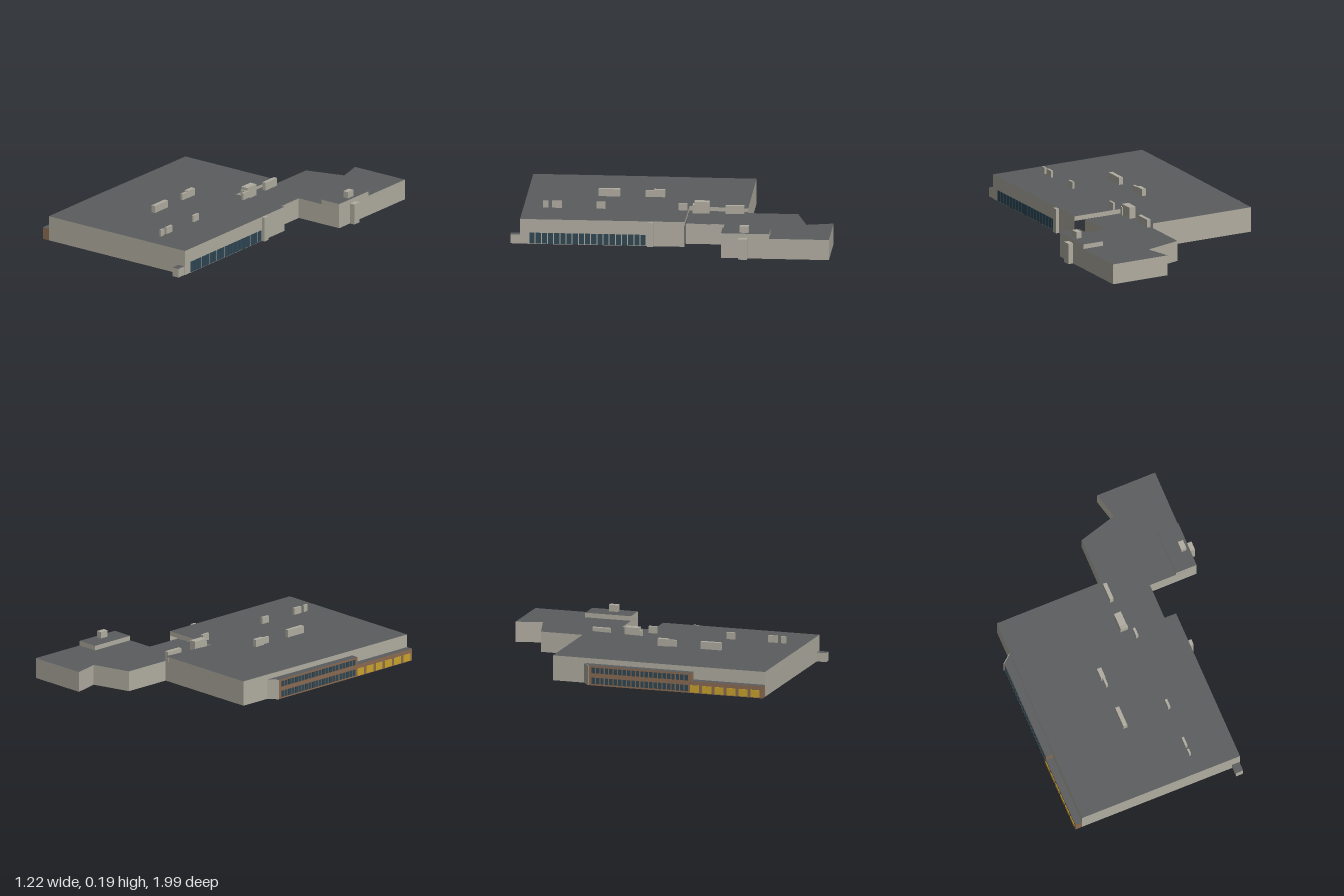
import * as THREE from 'three';

const mat = (color) => new THREE.MeshStandardMaterial({ color, side: THREE.DoubleSide });
const wallMat = mat(0xb0aca0), roofMat = mat(0x5a5c5e), brickMat = mat(0x8a6a52);
const glassMat = mat(0x2f4754), yellowMat = mat(0xc9a22c);
const TURN = 0.218; // the whole plan is turned by this angle

// Hollow block without a floor: walls along a plan outline plus a flat roof.
// Outline runs back-left, back-right, front-right, front-left. bases[i] lifts the foot of wall i, null leaves it out.
function block(name, outline, top, bases = [], material = wallMat) {
  const group = new THREE.Group();
  group.name = name;
  const pos = [];
  outline.forEach(([ax, az], i) => {
    const [bx, bz] = outline[(i + 1) % outline.length];
    const y = bases[i] === undefined ? 0 : bases[i];
    if (y === null) return;
    pos.push(ax, y, az, ax, top, az, bx, top, bz, ax, y, az, bx, top, bz, bx, y, bz);
  });
  const geo = new THREE.BufferGeometry();
  geo.setAttribute('position', new THREE.Float32BufferAttribute(pos, 3));
  geo.computeVertexNormals();
  const walls = new THREE.Mesh(geo, material);
  walls.name = name + 'Walls';
  const shape = new THREE.Shape(outline.map(([x, z]) => new THREE.Vector2(x, -z)));
  const roof = new THREE.Mesh(new THREE.ShapeGeometry(shape).rotateX(-Math.PI / 2).translate(0, top, 0), roofMat);
  roof.name = name + 'Roof';
  group.add(walls, roof);
  return group;
}

// Box turned with the plan, centred on x, z
function turnedBox(name, x, z, w, d, y0, y1, material = wallMat) {
  const mesh = new THREE.Mesh(new THREE.BoxGeometry(w, y1 - y0, d), material);
  mesh.position.set(x, (y0 + y1) / 2, z);
  mesh.rotation.y = TURN;
  mesh.name = name;
  return mesh;
}

// Row of panes set through the wall from a to b
function paneRow(name, a, b, count, fill, y0, y1, material) {
  const group = new THREE.Group();
  group.name = name;
  const step = Math.hypot(b[0] - a[0], b[1] - a[1]) / count;
  for (let i = 0; i < count; i++) {
    const t = (i + 0.5) / count;
    group.add(turnedBox('pane', a[0] + (b[0] - a[0]) * t, a[1] + (b[1] - a[1]) * t,
      0.006, step * fill, y0, y1, material));
  }
  return group;
}

export function createModel() {
  const model = new THREE.Group();

  // Main hall, open to the side aisle below its raised left wall
  model.add(block('mainHall', [
    [-0.61, -0.255], [0.015, -0.393], [-0.01, -0.388], [0.06, -0.06], [0.4, -0.132],
    [0.602, 0.78], [-0.345, 0.987], [-0.437, 0.57], [-0.57, -0.07],
  ], 0.145, [0, null, 0.118, 0.118, 0, 0, 0.07, 0.115, 0]));

  // Side aisle on the right: tall rear part with a slanted end, low front part
  model.add(block('tallAisle', [
    [-0.57, -0.07], [-0.437, 0.57], [-0.479, 0.578], [-0.61, -0.02],
  ], 0.115, [null, 0.07, 0, 0], brickMat));
  model.add(block('lowAisle', [
    [-0.437, 0.57], [-0.345, 0.987], [-0.385, 0.996], [-0.479, 0.578],
  ], 0.07, [null, 0, 0, null], brickMat));
  const slant = new THREE.Mesh(new THREE.BoxGeometry(0.066, 0.115, 0.004), wallMat);
  slant.position.set(-0.591, 0.0575, -0.046);
  slant.rotation.y = Math.atan2(0.05, 0.04) + Math.PI;
  slant.name = 'slantedEnd';
  model.add(slant);

  // Aisle windows
  const rear = [-0.607, -0.005], mid = [-0.482, 0.565], front = [-0.387, 0.988];
  model.add(paneRow('lowerWindows', rear, mid, 22, 0.72, 0.01, 0.046, glassMat));
  model.add(paneRow('upperWindows', rear, mid, 22, 0.72, 0.072, 0.104, glassMat));
  model.add(paneRow('yellowPanels', mid, front, 6, 0.74, 0.004, 0.046, yellowMat));

  // Long window band on the left wall
  model.add(paneRow('leftWindows', [0.447, 0.08], [0.591, 0.73], 19, 0.84, 0.003, 0.066, glassMat));

  // Rear annex and its raised corner
  model.add(block('annex', [
    [0.09, -0.922], [0.437, -0.998], [0.567, -0.398], [0.285, -0.335], [0.332, -0.12],
    [0.06, -0.06], [-0.01, -0.388], [0.015, -0.393], [-0.045, -0.672], [0.16, -0.782],
  ], 0.118, [0, 0, 0, 0, null, null, null, 0, 0, 0]));
  model.add(block('annexRaisedCorner', [
    [0.385, -0.638], [0.51, -0.665], [0.567, -0.398], [0.443, -0.371],
  ], 0.145, [0.118, 0.118, 0.118, 0.118]));
  // Wall below the link roof
  model.add(block('linkWall', [
    [0.285, -0.335], [0.287, -0.335], [0.334, -0.12], [0.332, -0.12],
  ], 0.117));

  // Porches and piers against the walls
  model.add(block('cornerPorch', [
    [0.555, 0.79], [0.598, 0.78], [0.61, 0.835], [0.568, 0.845],
  ], 0.052));
  model.add(turnedBox('leftPier', 0.449, 0.055, 0.024, 0.034, 0, 0.143));
  model.add(turnedBox('annexPier', 0.55, -0.523, 0.042, 0.05, 0, 0.12));

  // Rooftop units: x, z, width, depth, foot, top
  [
    [-0.085, 0.16, 0.026, 0.062, 0.145, 0.187],
    [-0.07, 0.212, 0.014, 0.05, 0.145, 0.182],
    [-0.02, 0.438, 0.024, 0.122, 0.145, 0.187],
    [0.253, 0.405, 0.014, 0.05, 0.145, 0.184],
    [0.306, 0.65, 0.014, 0.055, 0.145, 0.184],
    [0.32, 0.712, 0.012, 0.03, 0.145, 0.184],
    [0.152, -0.05, 0.014, 0.05, 0.145, 0.185],
    [0.08, -0.14, 0.042, 0.085, 0.118, 0.185],
    [0.092, -0.1, 0.044, 0.02, 0.118, 0.168],
    [0.045, -0.325, 0.022, 0.105, 0.118, 0.165],
    [0.505, -0.518, 0.032, 0.052, 0.145, 0.183],
  ].forEach(([x, z, w, d, y0, y1]) => {
    model.add(turnedBox('rooftopUnit', x, z, w, d, y0, y1));
  });

  return model;
}
